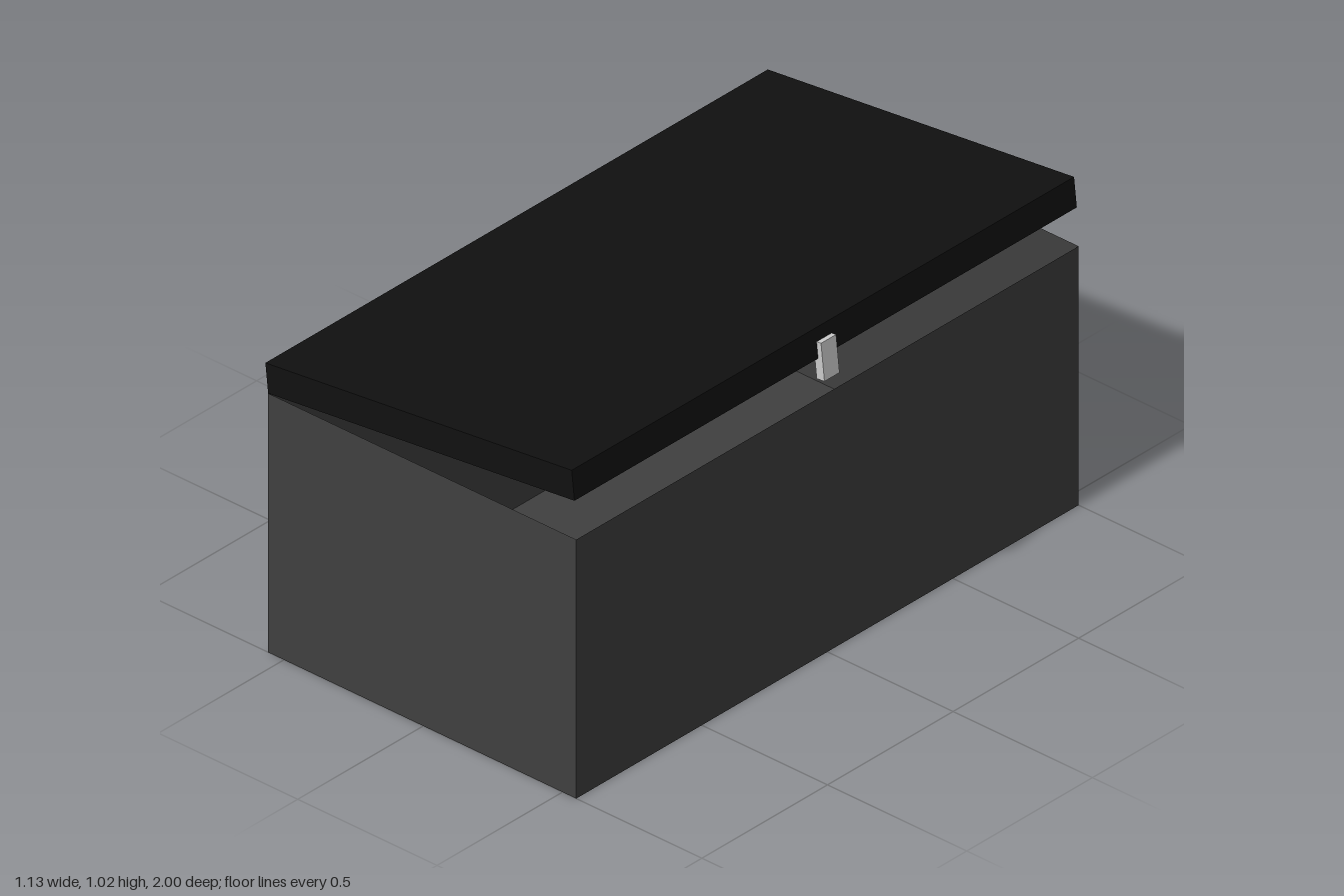
import * as THREE from 'three';

const W = 1.106, H = 0.812, D = 2;   // box size
const HINGE_X = -0.557;              // x of the hinge edge
const LID_T = 0.092;                 // lid thickness

function material(color, side = THREE.FrontSide) {
  return new THREE.MeshStandardMaterial({ color, side });
}

function block(name, w, h, d, x, y, z, mat) {
  const mesh = new THREE.Mesh(new THREE.BoxGeometry(w, h, d), mat);
  mesh.name = name;
  mesh.position.set(x, y, z);
  return mesh;
}

export function createModel() {
  const model = new THREE.Group();
  model.name = 'hingedBox';

  // Open-topped, thin-walled body: a box without its top face
  const shell = new THREE.BoxGeometry(W, H, D);
  const index = Array.from(shell.index.array);
  const top = shell.groups[2];
  index.splice(top.start, top.count);
  shell.setIndex(index);
  shell.clearGroups();
  const body = new THREE.Mesh(shell, material(0x404040, THREE.DoubleSide));
  body.name = 'body';
  body.position.set(HINGE_X + W / 2, H / 2, 0);
  model.add(body);

  // Lid assembly, swung slightly open about the hinge edge
  const lidGroup = new THREE.Group();
  lidGroup.name = 'lidAssembly';
  lidGroup.position.set(HINGE_X, H, 0);
  lidGroup.rotation.z = 0.108;
  lidGroup.add(block('lid', W, LID_T, D, W / 2, LID_T / 2, 0, material(0x101010)));

  // Latch set into the free edge of the lid
  lidGroup.add(block('latch', 0.028, 0.115, 0.06, 1.108, -0.007, 0, material(0xcccccc)));
  model.add(lidGroup);

  return model;
}
